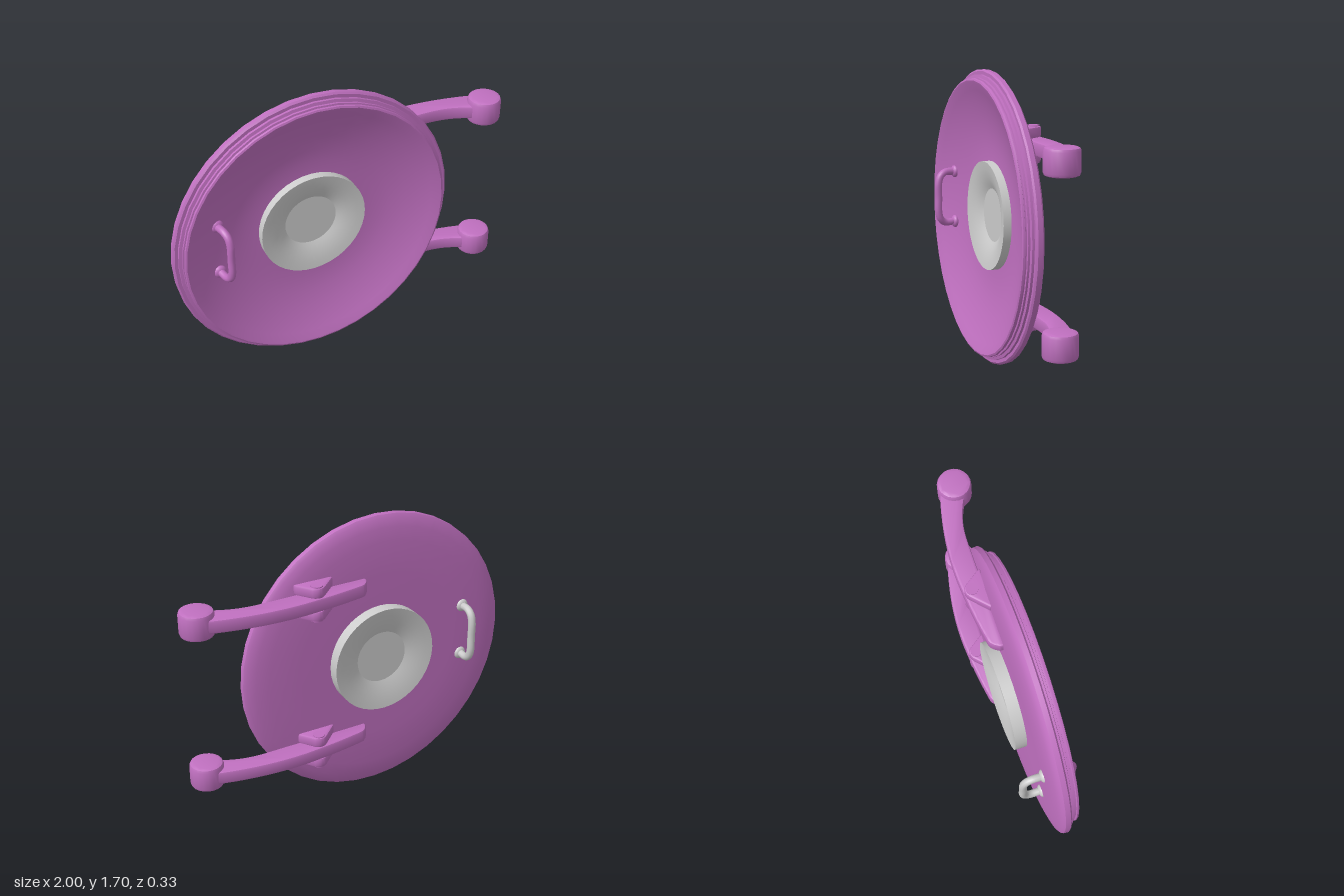
import * as THREE from 'three';
import { toCreasedNormals } from 'three/addons/utils/BufferGeometryUtils.js';

const CX = -0.166, CY = 0.85;
const paint = new THREE.MeshStandardMaterial({ color: 0xc070c0 });
const grey = new THREE.MeshStandardMaterial({ color: 0xcccccc });

function add(parent, name, geometry, material) {
  const mesh = new THREE.Mesh(geometry, material);
  mesh.name = name;
  parent.add(mesh);
  return mesh;
}

// Turned part facing +z; profile is [radius, z] from back centre round to front
function turned(profile, sides) {
  const g = new THREE.LatheGeometry(profile.map(([r, z]) => new THREE.Vector2(r, z)), sides);
  g.rotateX(Math.PI / 2);
  return toCreasedNormals(g, 0.5);
}

// Outline drawn in (x, -z), extruded along y and centred on y = 0
function slab(shape, width, bevel) {
  const g = new THREE.ExtrudeGeometry(shape, {
    depth: width - 2 * bevel, bevelEnabled: true, bevelThickness: bevel,
    bevelSize: bevel, bevelOffset: -bevel, bevelSegments: 2, curveSegments: 10,
  });
  g.translate(0, 0, -width / 2 + bevel);
  g.rotateX(-Math.PI / 2);
  return toCreasedNormals(g, 0.6);
}

// Grab handle; side = 1 front, -1 back
function handle(side, x0, base, lean, material) {
  const group = new THREE.Group();
  group.name = side > 0 ? 'frontHandle' : 'backHandle';
  const top = 0.143;
  const pts = [
    [0, -0.155, base], [lean * 0.5, -0.157, 0.095], [lean * 0.85, -0.135, 0.128],
    [lean, -0.09, top], [lean, 0, top], [lean, 0.09, top],
    [lean * 0.85, 0.135, 0.128], [lean * 0.5, 0.157, 0.095], [0, 0.155, base],
  ].map(([x, y, z]) => new THREE.Vector3(x0 + x, 0.88 + y, side * z));
  add(group, 'handleBar', new THREE.TubeGeometry(new THREE.CatmullRomCurve3(pts), 40, 0.022, 10), material);
  for (const y of [-0.157, 0.157]) {
    const foot = add(group, 'handleFoot', new THREE.SphereGeometry(0.038, 14, 10), material);
    foot.position.set(x0, 0.88 + y, side * base);
    foot.scale.z = 0.6;
  }
  return group;
}

function hinge(y) {
  const group = new THREE.Group();
  group.name = 'hinge';
  group.position.set(0, y, 0.004);

  // Curved arm with a slanted free end
  const arm = new THREE.Shape();
  arm.moveTo(-0.072, 0.03);
  arm.lineTo(0.55, 0.03);
  arm.bezierCurveTo(0.68, 0.03, 0.75, 0.0, 0.83, -0.04);
  arm.lineTo(0.9, -0.03);
  arm.lineTo(0.9, 0.08);
  arm.bezierCurveTo(0.72, 0.135, 0.5, 0.165, 0.3, 0.147);
  arm.bezierCurveTo(0.16, 0.137, 0.06, 0.122, -0.02, 0.108);
  arm.quadraticCurveTo(-0.05, 0.1, -0.072, 0.055);
  add(group, 'hingeArm', slab(arm, 0.078, 0.012), paint);

  // Pivot knuckle
  const circle = new THREE.Shape();
  circle.absarc(0.905, -0.004, 0.095, 0, Math.PI * 2);
  add(group, 'hingeKnuckle', slab(circle, 0.146, 0.02), paint);

  // Triangular lugs with the pin between them
  const lug = new THREE.Shape();
  lug.moveTo(0.13, 0.025);
  lug.lineTo(0.36, 0.025);
  lug.lineTo(0.355, 0.045);
  lug.lineTo(0.298, 0.126);
  lug.quadraticCurveTo(0.26, 0.158, 0.222, 0.126);
  lug.lineTo(0.135, 0.045);
  for (const s of [-1, 1]) {
    add(group, 'hingeLug', slab(lug, 0.06, 0.012), paint).position.y = s * 0.068;
  }
  const pin = add(group, 'hingePin',
    toCreasedNormals(new THREE.CylinderGeometry(0.034, 0.034, 0.206, 16), 0.6), paint);
  pin.position.set(0.26, 0, -0.1);
  return group;
}

export function createModel() {
  const model = new THREE.Group();
  model.name = 'hatchDoor';

  // Door disc: bevelled back, stepped seal edge, deeply dished front
  const disc = add(model, 'doorDisc', turned([
    [0.26, -0.036], [0.5, -0.036], [0.69, -0.033], [0.765, -0.021], [0.815, -0.008],
    [0.832, 0.005], [0.834, 0.033], [0.824, 0.042],
    [0.805, 0.042], [0.805, 0.056], [0.788, 0.06], [0.788, 0.072],
    [0.777, 0.074], [0.777, 0.082], [0.786, 0.086], [0.784, 0.096], [0.774, 0.1],
    [0.762, 0.096], [0.72, 0.076], [0.65, 0.048], [0.57, 0.022], [0.48, 0],
    [0.4, -0.011], [0.33, -0.015], [0.26, -0.015],
  ], 40), paint);
  disc.position.set(CX, CY, 0);
  disc.scale.y = 1.019;

  // Porthole ring, funnelled towards the pane on both sides
  const ring = add(model, 'portholeRing', turned([
    [0.155, -0.06], [0.18, -0.07], [0.22, -0.083], [0.27, -0.096], [0.315, -0.103],
    [0.315, 0.032], [0.27, 0.025], [0.22, 0.012], [0.18, -0.004], [0.155, -0.017],
  ], 40), grey);
  ring.position.set(CX, CY + 0.01, 0);

  const pane = add(model, 'portholePane', turned([
    [0, -0.06], [0.157, -0.06], [0.157, -0.017], [0, -0.017],
  ], 40), grey);
  pane.position.copy(ring.position);

  model.add(handle(1, -0.735, 0.028, 0.03, paint), handle(-1, -0.722, 0.032, 0, grey));
  for (const y of [0.391, 1.325]) model.add(hinge(y));
  return model;
}
